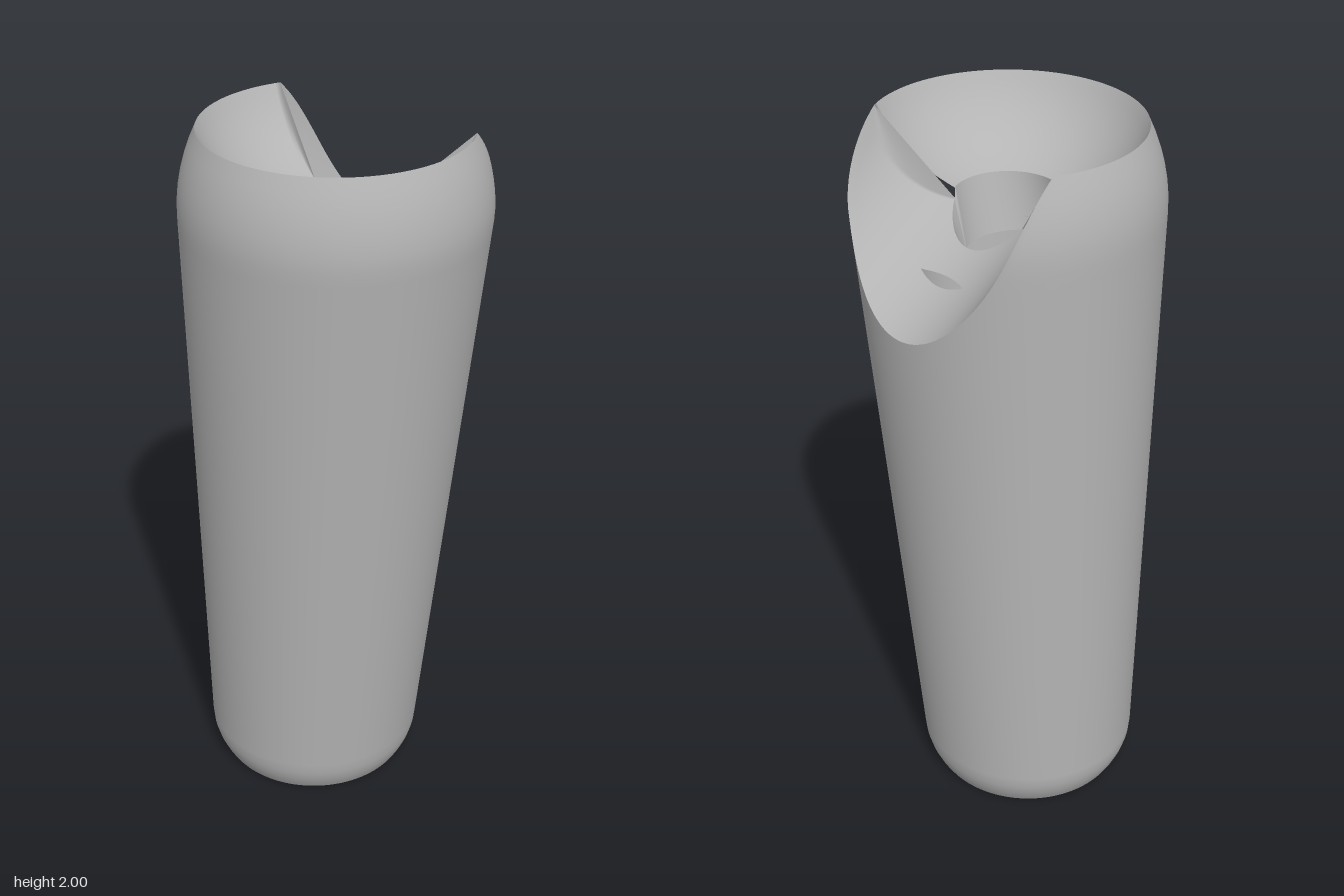
import * as THREE from 'three';

// Dimensions: spherical top seat, tilted cylindrical notch at the back, hollow core
const SEAT_Y = 2.17, SEAT_R = Math.hypot(0.357, 0.17);
const NOTCH_R = 0.32, TILT = THREE.MathUtils.degToRad(33);
const BORE_R = 0.143, CORE_R = 0.25, CEILING = 1.645, FLOOR = 0.3, BASE_HOLE_Y = 0.142;
const NOTCH_START = Math.sqrt(SEAT_R ** 2 - NOTCH_R ** 2);

const root = (v) => Math.sqrt(Math.max(0, v));
const V = (x, y, z) => new THREE.Vector3(x, y, z);

// First place where f turns positive between lo and hi
function solve(f, lo, hi) {
  if (f(lo) >= 0) return lo;
  if (f(hi) <= 0) return hi;
  for (let i = 0; i < 45; i++) {
    const mid = (lo + hi) / 2;
    if (f(mid) < 0) lo = mid; else hi = mid;
  }
  return (lo + hi) / 2;
}

// Circle point; angle 0 is the back, rising towards +x
const ring = (a, r, y, cx = 0) => V(cx + r * Math.sin(a), y, -r * Math.cos(a));

// Leaning, tapered outer wall with rounded ends
const leanX = (y) => -0.084 * (1 - THREE.MathUtils.clamp((y - 0.1) / 1.68, 0, 1));
function wallRadius(y) {
  if (y < 0.11) return 0.315 - 0.035 * ((0.11 - y) / 0.11) ** 2;
  if (y > 1.78) return 0.411 - 0.054 * ((y - 1.78) / 0.22) ** 2;
  return 0.315 + 0.096 * (y - 0.11) / 1.67;
}
const wall = (a, y) => ring(a, wallRadius(y), y, leanX(y));

// Heights of the two cut surfaces
const seatY = (p) => SEAT_Y - root(SEAT_R ** 2 - p.x ** 2 - p.z ** 2);
const notchY = (p) => SEAT_Y + Math.tan(TILT) * p.z - root(NOTCH_R ** 2 - p.x ** 2) / Math.cos(TILT);

// Angle of the notch corners on the top rim
const corner = solve((a) => notchY(wall(a, 2)) - 2, 0, Math.PI / 2);

// Everything that depends on one angle around the body
function makeRay(a, inNotch) {
  const top = inNotch ? solve((y) => y - notchY(wall(a, y)), 1.4, 2) : 2;
  const inner = ring(a, BORE_R, 0), edge = wall(a, top);
  const at = (s) => inner.clone().lerp(edge, s);
  const seat = (s) => { const p = at(s); p.y = seatY(p); return p; };
  const notch = (s) => { const p = at(s); p.y = notchY(p); return p; };
  const core = solve((s) => Math.hypot(at(s).x, at(s).z) - CORE_R, 0, 1);
  let start = 1, slotIn = 1, slotOut = 1;
  if (inNotch) {
    start = solve((s) => {
      const p = seat(s);
      return (SEAT_Y - p.y) * Math.sin(TILT) - p.z * Math.cos(TILT) - NOTCH_START;
    }, 0, 1);
    slotOut = Math.max(core, start);
    slotIn = Math.min(solve((s) => CEILING - notch(s).y, start, 1), slotOut);
  }
  const ceilingEdge = at(Math.min(slotIn, core));
  ceilingEdge.y = CEILING;
  const coreTop = at(core);
  coreTop.y = inNotch ? Math.min(CEILING, notchY(coreTop)) : CEILING;
  return { a, top, seat, notch, start, slotIn, slotOut, ceilingEdge, coreTop };
}

// Closed band: point(ray, t) for t from 0 to 1 over the given number of rows
function band(name, rays, rows, point, material) {
  const n = rays.length, pos = [], idx = [];
  for (let j = 0; j <= rows; j++) {
    for (const ray of rays) pos.push(...point(ray, j / rows, j).toArray());
  }
  for (let j = 0; j < rows; j++) {
    for (let i = 0; i < n; i++) {
      const k = (i + 1) % n, p = j * n, q = p + n;
      idx.push(p + i, q + i, p + k, p + k, q + i, q + k);
    }
  }
  const geo = new THREE.BufferGeometry();
  geo.setAttribute('position', new THREE.Float32BufferAttribute(pos, 3));
  geo.setIndex(idx);
  geo.computeVertexNormals();
  const mesh = new THREE.Mesh(geo, material);
  mesh.name = name;
  return mesh;
}

export function createModel() {
  const group = new THREE.Group();
  group.name = 'hollowSocketPost';
  const grey = new THREE.MeshStandardMaterial({ color: 0xb4b4b4 });
  grey.name = 'plain grey';

  // Angles, with samples exactly on the notch corners
  const rays = [], back = 72, rest = 96;
  for (let i = 0; i < back; i++) {
    rays.push(makeRay(-corner + 2 * corner * i / back, i > 0));
  }
  for (let i = 0; i < rest; i++) {
    rays.push(makeRay(corner + (2 * Math.PI - 2 * corner) * i / rest, false));
  }
  const add = (name, rows, point) => group.add(band(name, rays, rows, point, grey));
  const mix = THREE.MathUtils.lerp;

  // Outer body, trimmed by the notch
  const low = [0, 0.02, 0.045, 0.075, 0.11, 0.5, 0.95, 1.4];
  add('outerWall', low.length + 15, (r, t, j) =>
    wall(r.a, j < low.length ? low[j] : mix(1.4, r.top, (j - low.length + 1) / 16)));

  // Notch floor on both sides of the thin slot, then the round seat
  add('notchOuter', 10, (r, t) => r.notch === undefined || r.start === 1
    ? r.seat(1) : r.notch(mix(1, r.slotOut, t)));
  add('notchInner', 8, (r, t) => r.start === 1
    ? r.seat(1) : r.notch(mix(r.slotIn, r.start, t)));
  add('roundSeat', 16, (r, t) => r.seat(mix(r.start, 0, t)));

  // Upper bore and hollow core
  const boreTop = (r) => (r.start === 0 ? r.notch(0) : r.seat(0));
  const boreEnd = (r) => ring(r.a, 0.15, CEILING, -0.05);
  add('upperBore', 2, (r, t) => boreTop(r).lerp(boreEnd(r), t));
  add('coreCeiling', 1, (r, t) => boreEnd(r).lerp(r.ceilingEdge, t));
  const coreFoot = (r) => ring(r.a, 0.2, FLOOR, -0.075);
  add('coreWall', 4, (r, t) => r.coreTop.clone().lerp(coreFoot(r), t));

  // Core floor, lower bore and hollowed underside
  add('coreFloor', 1, (r, t) => ring(r.a, mix(0.2, BORE_R, t), FLOOR, mix(-0.075, -0.08, t)));
  add('lowerBore', 1, (r, t) => ring(r.a, BORE_R, mix(FLOOR, BASE_HOLE_Y, t), mix(-0.08, -0.084, t)));
  add('undersideDish', 12, (r, t) => {
    const rad = mix(BORE_R, 0.28, t);
    return ring(r.a, rad, Math.max(0, root(0.0961 - rad * rad) - 0.133), -0.084);
  });

  group.position.z = -0.003;
  return group;
}
